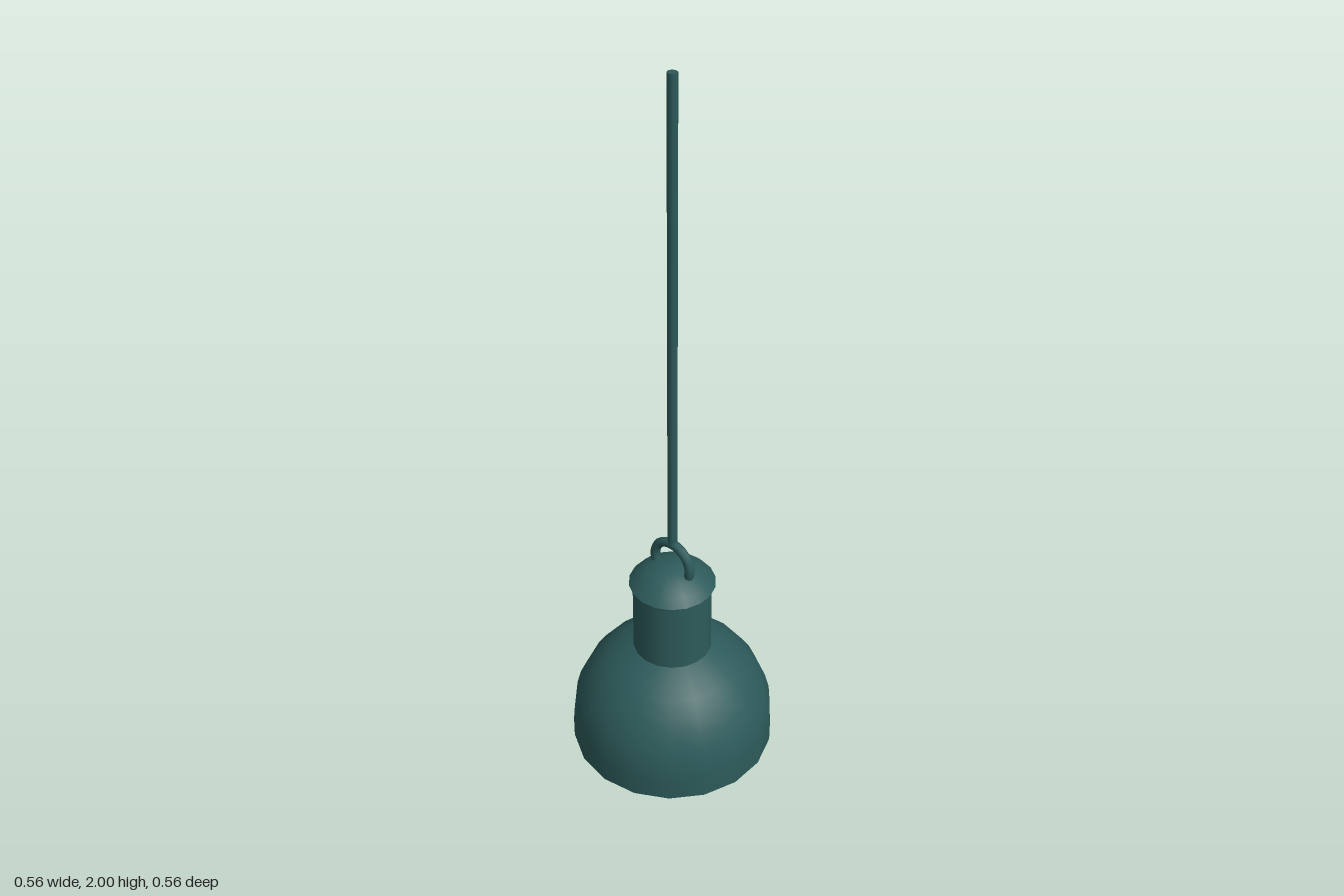
import * as THREE from 'three';

const SIDES = 18;

export function createModel() {
  const lamp = new THREE.Group();
  lamp.name = 'pendantLamp';
  const material = new THREE.MeshStandardMaterial({ color: 0x2d5a5a, side: THREE.DoubleSide });

  const add = (name, geometry, y = 0) => {
    const mesh = new THREE.Mesh(geometry, material);
    mesh.name = name;
    mesh.position.y = y;
    lamp.add(mesh);
  };
  const lathe = (points) =>
    new THREE.LatheGeometry(points.map(([r, y]) => new THREE.Vector2(r, y)), SIDES);

  // Open bell shade: short straight skirt, then a round dome up to the neck
  const shade = [[0.282, 0]];
  const domeSteps = 7, domeEnd = 1.178;
  for (let i = 0; i <= domeSteps; i++) {
    const a = (i / domeSteps) * domeEnd;
    shade.push([0.282 * Math.cos(a), 0.065 + 0.282 * Math.sin(a)]);
  }
  add('shade', lathe(shade));

  // Socket housing
  add('neck', new THREE.CylinderGeometry(0.108, 0.108, 0.22, SIDES, 1, true), 0.435);

  // Domed cap with a slight overhang
  add('capUnderside', lathe([[0.1, 0.54], [0.118, 0.543]]));
  add('cap', lathe([[0.118, 0.543], [0.098, 0.565], [0.072, 0.585], [0.038, 0.599], [0, 0.604]]));

  // Hanging loop, its ends sunk into the cap
  const loop = new THREE.TorusGeometry(0.061, 0.0135, 8, 20, Math.PI * 1.3);
  loop.rotateZ(-Math.PI * 0.15);
  add('hangingLoop', loop, 0.61);

  // Suspension rod
  add('rod', new THREE.CylinderGeometry(0.013, 0.013, 1.33, 8), 1.335);

  return lamp;
}
